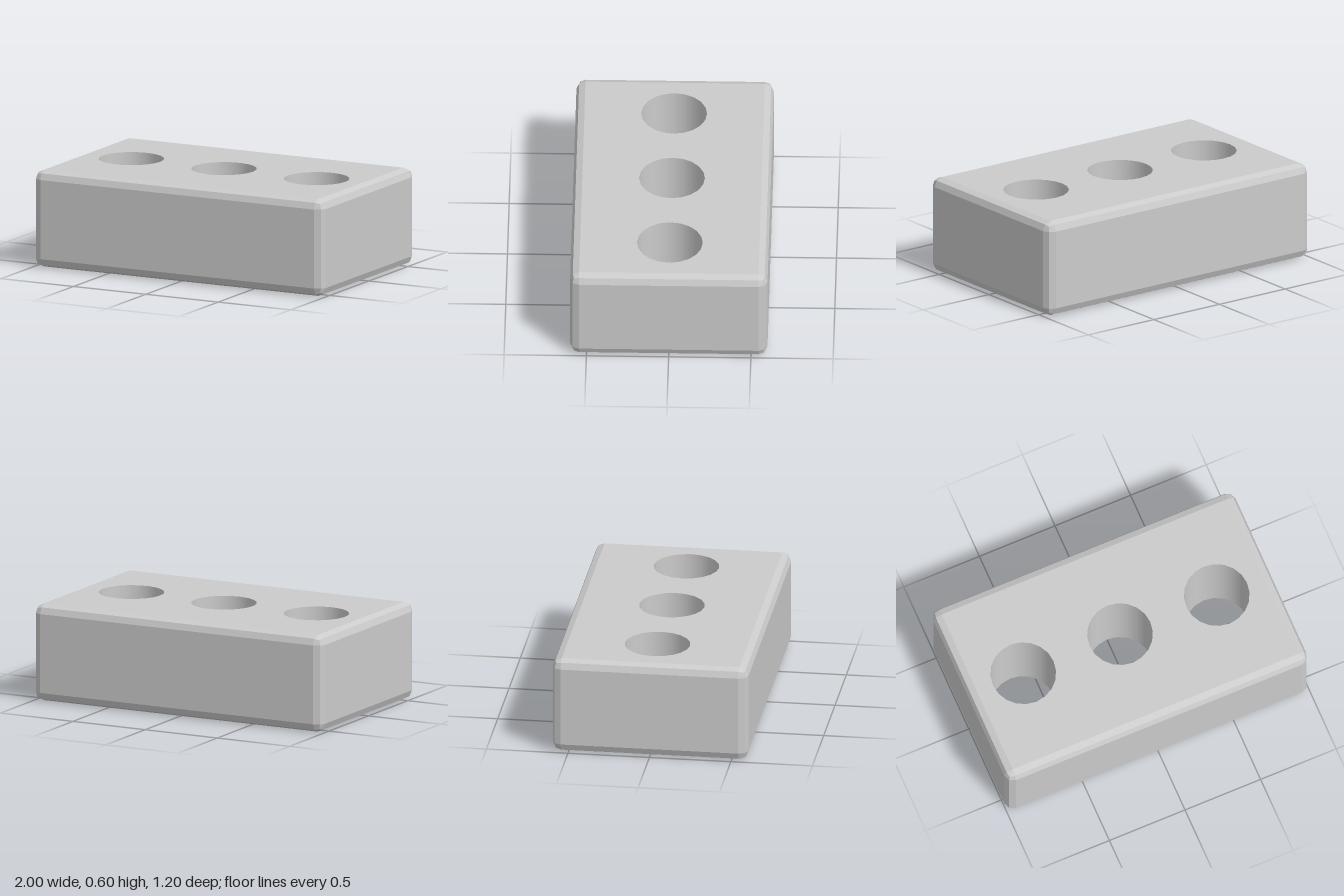
import * as THREE from 'three';

const W = 2, H = 0.6, D = 1.2;      // overall size
const R = 0.055;                    // edge rounding
const HOLE_R = 0.2, SIDES = 20;
const HOLE_X = [-0.64, 0, 0.64];

// One horizontal loop of the shell: three points per rounded corner.
// v is the vertical lean of the rounding (-1, 0, 1); a cap loop collapses each corner to one point.
function loop(v, cap) {
  const points = [];
  for (const [sx, sz] of [[1, 1], [-1, 1], [-1, -1], [1, -1]]) {
    const steps = [[1, 0], [1, 1], [0, 1]];
    if (sx * sz < 0) steps.reverse();
    for (const [a, c] of steps) {
      const dir = cap ? new THREE.Vector3(0, v, 0) : new THREE.Vector3(a * sx, v, c * sz).normalize();
      // straight walls start where the rounding ends
      const y = v * (H / 2 - R);
      points.push(dir.multiplyScalar(R).add(new THREE.Vector3(sx * (W / 2 - R), y + H / 2, sz * (D / 2 - R))));
    }
  }
  return points;
}

// Side walls with their rounded edges, bottom to top
function shellGeometry() {
  const lower = loop(0), upper = loop(0);
  lower.forEach(p => { p.y = R; });
  upper.forEach(p => { p.y = H - R; });
  const rows = [loop(-1, true), loop(-1), lower, upper, loop(1), loop(1, true)];
  const positions = [];
  const triangle = (a, b, c) => {
    if (a.equals(b) || b.equals(c) || c.equals(a)) return;
    for (const p of [a, b, c]) positions.push(p.x, p.y, p.z);
  };
  for (let r = 0; r < rows.length - 1; r++) {
    const n = rows[r].length;
    for (let i = 0; i < n; i++) {
      const j = (i + 1) % n;
      triangle(rows[r][i], rows[r + 1][i], rows[r][j]);
      triangle(rows[r + 1][i], rows[r + 1][j], rows[r][j]);
    }
  }
  const geometry = new THREE.BufferGeometry();
  geometry.setAttribute('position', new THREE.Float32BufferAttribute(positions, 3));
  geometry.computeVertexNormals();
  return geometry;
}

// Flat face pierced by the round holes
function faceGeometry() {
  const x = W / 2 - R, z = D / 2 - R;
  const shape = new THREE.Shape([[-x, -z], [x, -z], [x, z], [-x, z]].map(p => new THREE.Vector2(...p)));
  for (const cx of HOLE_X) {
    const ring = [];
    for (let i = 0; i < SIDES; i++) {
      const t = -i / SIDES * Math.PI * 2;
      ring.push(new THREE.Vector2(cx + HOLE_R * Math.cos(t), HOLE_R * Math.sin(t)));
    }
    shape.holes.push(new THREE.Path(ring));
  }
  return new THREE.ShapeGeometry(shape);
}

export function createModel() {
  const brick = new THREE.Group();
  brick.name = 'brick';
  const flat = new THREE.MeshStandardMaterial({ color: 0xcccccc, flatShading: true });
  const inner = new THREE.MeshStandardMaterial({ color: 0xcccccc, side: THREE.DoubleSide });
  const add = (name, geometry, material) => {
    const mesh = new THREE.Mesh(geometry, material);
    mesh.name = name;
    brick.add(mesh);
    return mesh;
  };

  add('sides', shellGeometry(), flat);
  add('topFace', faceGeometry().rotateX(-Math.PI / 2).translate(0, H, 0), flat);
  add('bottomFace', faceGeometry().rotateX(Math.PI / 2), flat);

  // Smooth walls of the through holes
  HOLE_X.forEach((x, i) => {
    const wall = new THREE.CylinderGeometry(HOLE_R, HOLE_R, H, SIDES, 1, true);
    add(`holeWall${i + 1}`, wall, inner).position.set(x, H / 2, 0);
  });
  return brick;
}
